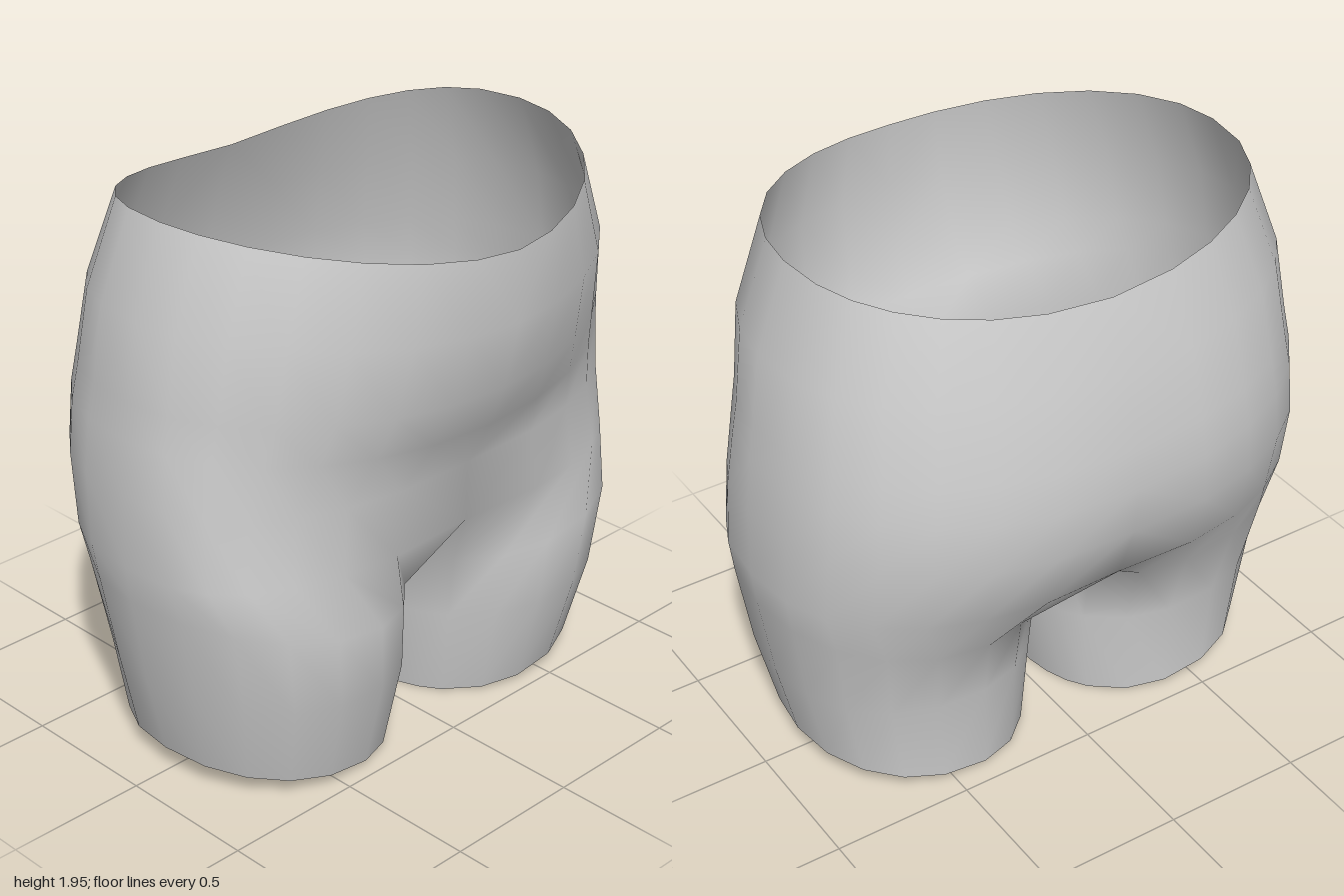
import * as THREE from 'three';
import { mergeVertices } from 'three/addons/utils/BufferGeometryUtils.js';

const OUTER = 14; // steps round the outside of one half, front to back
const V = (x, y, z) => new THREE.Vector3(x, y, z);
const pow = (v, p) => Math.sign(v) * Math.pow(Math.abs(v), p);

// Half section of the hips, from the front centre round the side to the back centre
function hipRing({ y, lift = 0, w, front, back, pf, pb, dip = 0 }) {
  const ring = [];
  for (let j = 0; j <= OUTER; j++) {
    const a = (Math.PI * j) / OUTER;
    const c = j * 2 === OUTER ? 0 : Math.cos(a);
    const p = c > 0 ? pf : pb;
    const x = j % OUTER === 0 ? 0 : w * pow(Math.sin(a), 2 / p);
    const groove = Math.sign(c) * dip * Math.exp(-((x / 0.25) ** 2));
    const z = pow(c, 2 / p) * (c > 0 ? front : back) - groove;
    ring.push(V(x, y + lift * Math.pow(x / w, 1.6), z));
  }
  return ring;
}

// Closed section of one leg: the outer columns first, then the inner thigh
function legRing({ yIn, yOut, w, inner, front, back }, innerCount) {
  const ring = [];
  const mid = (w + inner) / 2, half = (w - inner) / 2;
  const start = -0.87, end = Math.PI + 0.87;
  const steps = innerCount + 1;
  for (let j = 0; j <= OUTER + innerCount; j++) {
    const a = j <= OUTER
      ? start + ((end - start) * j) / OUTER
      : end + ((2 * Math.PI + start - end) * (j - OUTER)) / steps;
    const c = Math.cos(a);
    const x = mid + half * pow(Math.sin(a), 0.92);
    const z = pow(c, 0.92) * (c > 0 ? front : back);
    const u = Math.max(0, (x - inner) / (w - inner));
    ring.push(V(x, yIn + (yOut - yIn) * Math.pow(u, 1.5), z));
  }
  return ring;
}

export function createModel() {
  // Hips, from the waist rim to the level of the crotch
  const hips = [
    { y: 1.84, lift: 0.11, w: 0.81, front: 0.73, back: 0.575, pf: 1.9, pb: 2.4 },
    { y: 1.6, lift: 0.05, w: 0.92, front: 0.74, back: 0.665, pf: 1.95, pb: 2.35 },
    { y: 1.36, lift: 0.03, w: 0.955, front: 0.685, back: 0.72, pf: 2.0, pb: 2.35 },
    { y: 1.21, lift: 0.06, w: 0.975, front: 0.63, back: 0.735, pf: 2.15, pb: 2.4 },
    { y: 1.04, lift: 0.04, w: 0.995, front: 0.55, back: 0.74, pf: 2.55, pb: 2.4, dip: 0.015 },
    { y: 0.83, w: 1.0, front: 0.565, back: 0.68, pf: 2.75, pb: 2.4, dip: 0.03 },
  ].map(hipRing);

  // Crotch line on the centre plane, from back to front
  const crotch = [
    V(0, 0.75, -0.42), V(0, 0.69, -0.2), V(0, 0.67, -0.03),
    V(0, 0.66, 0.13), V(0, 0.67, 0.26), V(0, 0.74, 0.38),
  ];

  // Legs, from under the crotch to the hem
  const legs = [
    { yIn: 0.56, yOut: 0.7, w: 0.985, inner: 0.012, front: 0.56, back: 0.505 },
    { yIn: 0.34, yOut: 0.38, w: 0.935, inner: 0.012, front: 0.54, back: 0.445 },
    { yIn: 0, yOut: 0.09, w: 0.868, inner: 0.053, front: 0.46, back: 0.44 },
  ].map((leg) => legRing(leg, crotch.length));

  // Skin the sections of one half and mirror them into the other
  const positions = [];
  const triangle = (a, b, c) => {
    for (const p of [a, b, c]) positions.push(p.x, p.y, p.z);
    for (const p of [a, c, b]) positions.push(p.x === 0 ? 0 : -p.x, p.y, p.z);
  };
  const skin = (rings, closed) => {
    for (let i = 0; i + 1 < rings.length; i++) {
      const top = rings[i], low = rings[i + 1], n = top.length;
      for (let j = 0; j < (closed ? n : n - 1); j++) {
        const k = (j + 1) % n;
        triangle(top[j], low[j], top[k]);
        triangle(top[k], low[j], low[k]);
      }
    }
  };
  skin(hips, false);
  skin([[...hips[hips.length - 1], ...crotch], ...legs], true);

  let geometry = new THREE.BufferGeometry();
  geometry.setAttribute('position', new THREE.Float32BufferAttribute(positions, 3));
  geometry = mergeVertices(geometry, 1e-4);
  geometry.computeVertexNormals();

  const body = new THREE.Mesh(
    geometry,
    new THREE.MeshStandardMaterial({ color: 0xcccccc, side: THREE.DoubleSide }),
  );
  body.name = 'hipsAndThighs';

  const group = new THREE.Group();
  group.name = 'lowerTorso';
  group.add(body);
  return group;
}
